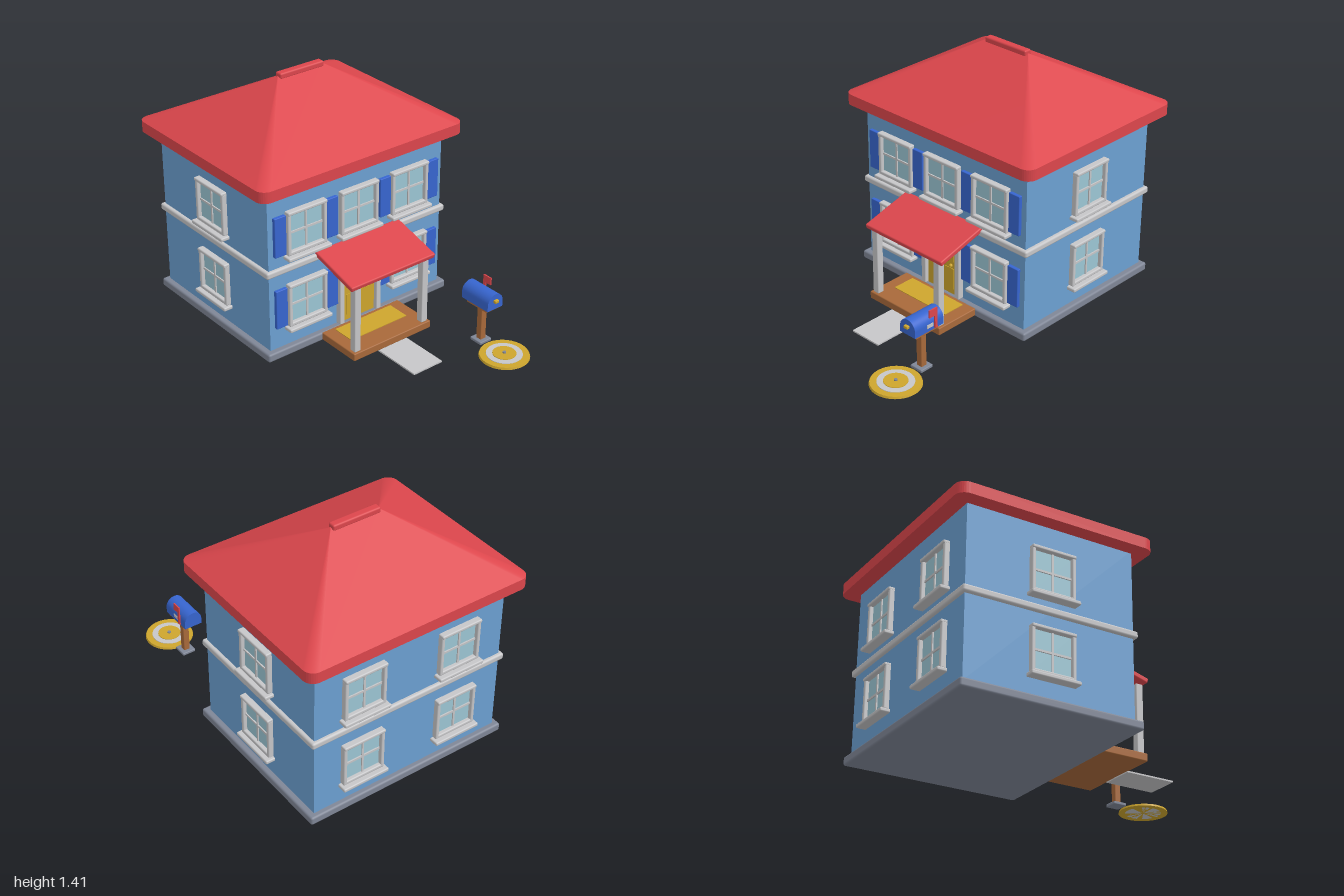
import * as THREE from 'three';
import { RoundedBoxGeometry } from 'three/addons/geometries/RoundedBoxGeometry.js';

const mat = (name, color) => {
  const m = new THREE.MeshStandardMaterial({ color });
  m.name = name;
  return m;
};

export function createModel() {
  const house = new THREE.Group();
  house.name = 'house';
  const wall = mat('wall blue', 0x6ca0d2);
  const roofRed = mat('roof red', 0xdc464c);
  const trim = mat('trim grey', 0xc6c6c8);
  const shutterBlue = mat('shutter blue', 0x3765cf);
  const gold = mat('gold', 0xcda52d);
  const wood = mat('wood brown', 0xa8693a);
  const stone = mat('stone grey', 0x7f8696);
  const glass = mat('window glass', 0x9cc6d4);

  const add = (parent, name, geo, material, x = 0, y = 0, z = 0) => {
    const m = new THREE.Mesh(geo, material);
    m.name = name;
    m.position.set(x, y, z);
    parent.add(m);
    return m;
  };
  // Box given by its extents; r rounds the edges
  const box = (parent, name, material, [x0, x1], [y0, y1], [z0, z1], r = 0) => {
    const w = x1 - x0, h = y1 - y0, d = z1 - z0;
    const geo = r ? new RoundedBoxGeometry(w, h, d, 2, r) : new THREE.BoxGeometry(w, h, d);
    return add(parent, name, geo, material, (x0 + x1) / 2, (y0 + y1) / 2, (z0 + z1) / 2);
  };
  const group = (name, parent = house) => {
    const g = new THREE.Group();
    g.name = name;
    parent.add(g);
    return g;
  };

  // Main body
  const ZC = -0.4125;
  box(house, 'foundation', stone, [-0.64, 0.64], [0.005, 0.055], [-0.94, 0.12], 0.012);
  box(house, 'walls', wall, [-0.605, 0.605], [0.05, 1.03], [-0.91, 0.085]);
  box(house, 'beltCourse', trim, [-0.627, 0.627], [0.515, 0.555], [-0.93, 0.105], 0.012);

  // Hip roof: rounded eave slab, then slopes rising to a short ridge
  const HX = 0.695, HZ = 0.5875, R = 0.06, ARC = 8;
  const loop = [];
  [[1, 1], [-1, 1], [-1, -1], [1, -1]].forEach(([sx, sz], c) => {
    for (let i = 0; i <= ARC; i++) {
      const a = (c + i / ARC) * Math.PI / 2;
      loop.push([sx * (HX - R) + R * Math.cos(a), sz * (HZ - R) + R * Math.sin(a), sx]);
    }
  });
  const eaveShape = new THREE.Shape(loop.map(([x, z]) => new THREE.Vector2(x, z)));
  const eave = new THREE.ExtrudeGeometry(eaveShape, { depth: 0.065, bevelEnabled: false });
  eave.rotateX(-Math.PI / 2);
  add(house, 'eaves', eave, roofRed, 0, 1.015, ZC);
  const pos = [], idx = [], n = loop.length;
  loop.forEach(([x, z, sx]) => pos.push(x, 1.08, z, sx * 0.15, 1.387, 0));
  for (let i = 0; i < n; i++) {
    const a = 2 * i, b = 2 * ((i + 1) % n);
    idx.push(a, a + 1, b, b, a + 1, b + 1);
  }
  const slopes = new THREE.BufferGeometry();
  slopes.setAttribute('position', new THREE.Float32BufferAttribute(pos, 3));
  slopes.setIndex(idx);
  slopes.computeVertexNormals();
  add(house, 'roofSlopes', slopes, roofRed, 0, 0, ZC);
  box(house, 'ridgeCap', roofRed, [-0.15, 0.15], [1.37, 1.406], [ZC - 0.024, ZC + 0.024], 0.01);

  // Window, built facing +z with its centre on the wall
  const addWindow = (x, y, z, turn, shutters) => {
    const g = group('window');
    g.position.set(x, y, z);
    g.rotation.y = turn;
    box(g, 'glass', glass, [-0.118, 0.118], [-0.12, 0.12], [-0.01, 0.007]);
    for (const s of [-1, 1]) {
      const side = s * 0.12;
      box(g, 'sideFrame', trim, [side - 0.011, side + 0.011], [-0.13, 0.12], [-0.01, 0.03], 0.007);
      if (shutters) {
        const c = s * 0.1735;
        box(g, 'shutter', shutterBlue, [c - 0.038, c + 0.038], [-0.118, 0.118], [-0.01, 0.02], 0.004);
      }
    }
    box(g, 'topFrame', trim, [-0.131, 0.131], [0.112, 0.132], [-0.01, 0.036], 0.007);
    box(g, 'bottomFrame', trim, [-0.128, 0.128], [-0.13, -0.108], [-0.01, 0.03], 0.007);
    box(g, 'sill', trim, [-0.145, 0.145], [-0.153, -0.131], [-0.01, 0.055], 0.007);
    box(g, 'uprightBar', trim, [-0.006, 0.006], [-0.115, 0.115], [0, 0.014]);
    box(g, 'crossBar', trim, [-0.115, 0.115], [-0.006, 0.006], [0, 0.014]);
  };
  for (const y of [0.305, 0.747]) {
    for (const s of [-1, 1]) {
      addWindow(s * 0.36, y, 0.085, 0, true);
      addWindow(s * 0.605, y, ZC, s * Math.PI / 2, false);
      addWindow(s * 0.305, y, -0.91, Math.PI, false);
    }
  }
  addWindow(0, 0.747, 0.085, 0, false);

  // Front door with frame, raised panels and knob
  const door = group('frontDoor');
  box(door, 'doorLeaf', gold, [-0.118, 0.118], [0.055, 0.45], [0.08, 0.095]);
  for (const s of [-1, 1]) {
    box(door, 'doorPost', trim, [s * 0.131 - 0.016, s * 0.131 + 0.016], [0.055, 0.47], [0.08, 0.12], 0.005);
    for (const [y0, y1] of [[0.09, 0.22], [0.265, 0.415]]) {
      box(door, 'doorPanel', gold, [s * 0.052 - 0.036, s * 0.052 + 0.036], [y0, y1], [0.09, 0.099]);
    }
  }
  box(door, 'doorHead', trim, [-0.147, 0.147], [0.445, 0.475], [0.08, 0.12], 0.005);
  add(door, 'doorKnob', new THREE.SphereGeometry(0.011, 16, 12), gold, 0.075, 0.245, 0.108);

  // Porch
  const porch = group('porch');
  box(porch, 'porchFloor', wood, [-0.275, 0.275], [0.01, 0.056], [0.115, 0.4], 0.006);
  box(porch, 'doormat', gold, [-0.2, 0.2], [0.054, 0.06], [0.14, 0.28]);
  for (const s of [-1, 1]) {
    box(porch, 'porchPost', trim, [s * 0.24 - 0.021, s * 0.24 + 0.021], [0.055, 0.455], [0.345, 0.388], 0.005);
  }
  const canopy = add(porch, 'porchRoof', new RoundedBoxGeometry(0.59, 0.03, 0.33, 2, 0.008), roofRed, 0, 0.512, 0.242);
  canopy.rotation.x = 0.27;
  box(house, 'path', trim, [-0.1, 0.1], [0.003, 0.012], [0.39, 0.692]);

  // Mailbox
  const mailbox = group('mailbox');
  mailbox.position.x = 0.412;
  box(mailbox, 'postFoot', stone, [-0.042, 0.042], [0.006, 0.024], [0.625, 0.71], 0.005);
  box(mailbox, 'post', wood, [-0.019, 0.019], [0.02, 0.245], [0.649, 0.686], 0.004);
  box(mailbox, 'shelf', wood, [-0.048, 0.048], [0.239, 0.256], [0.592, 0.75], 0.003);
  const arch = new THREE.Shape();
  arch.moveTo(-0.055, 0);
  arch.lineTo(0.055, 0);
  arch.lineTo(0.055, 0.038);
  arch.absarc(0, 0.038, 0.055, 0, Math.PI, false);
  arch.closePath();
  const shell = new THREE.ExtrudeGeometry(arch, { depth: 0.205, bevelEnabled: false, curveSegments: 20 });
  add(mailbox, 'mailboxShell', shell, shutterBlue, 0, 0.255, 0.56);
  box(mailbox, 'pullTab', gold, [-0.014, 0.014], [0.298, 0.316], [0.76, 0.782], 0.004);
  box(mailbox, 'flagArm', roofRed, [0.055, 0.063], [0.262, 0.382], [0.609, 0.627]);
  box(mailbox, 'flag', roofRed, [0.055, 0.063], [0.338, 0.382], [0.609, 0.667]);
  box(mailbox, 'sidePlate', trim, [0.054, 0.058], [0.276, 0.297], [0.635, 0.68]);

  // Round ground plaque of stepped discs
  const plaque = group('groundPlaque');
  plaque.position.set(0.412, 0, 0.855);
  [[0.142, 0.012, gold], [0.104, 0.015, trim], [0.068, 0.018, gold], [0.01, 0.025, stone]].forEach(([r, h, m]) => {
    add(plaque, 'plaqueDisc', new THREE.CylinderGeometry(r * 0.97, r, h, 40), m, 0, h / 2, 0);
  });

  return house;
}
